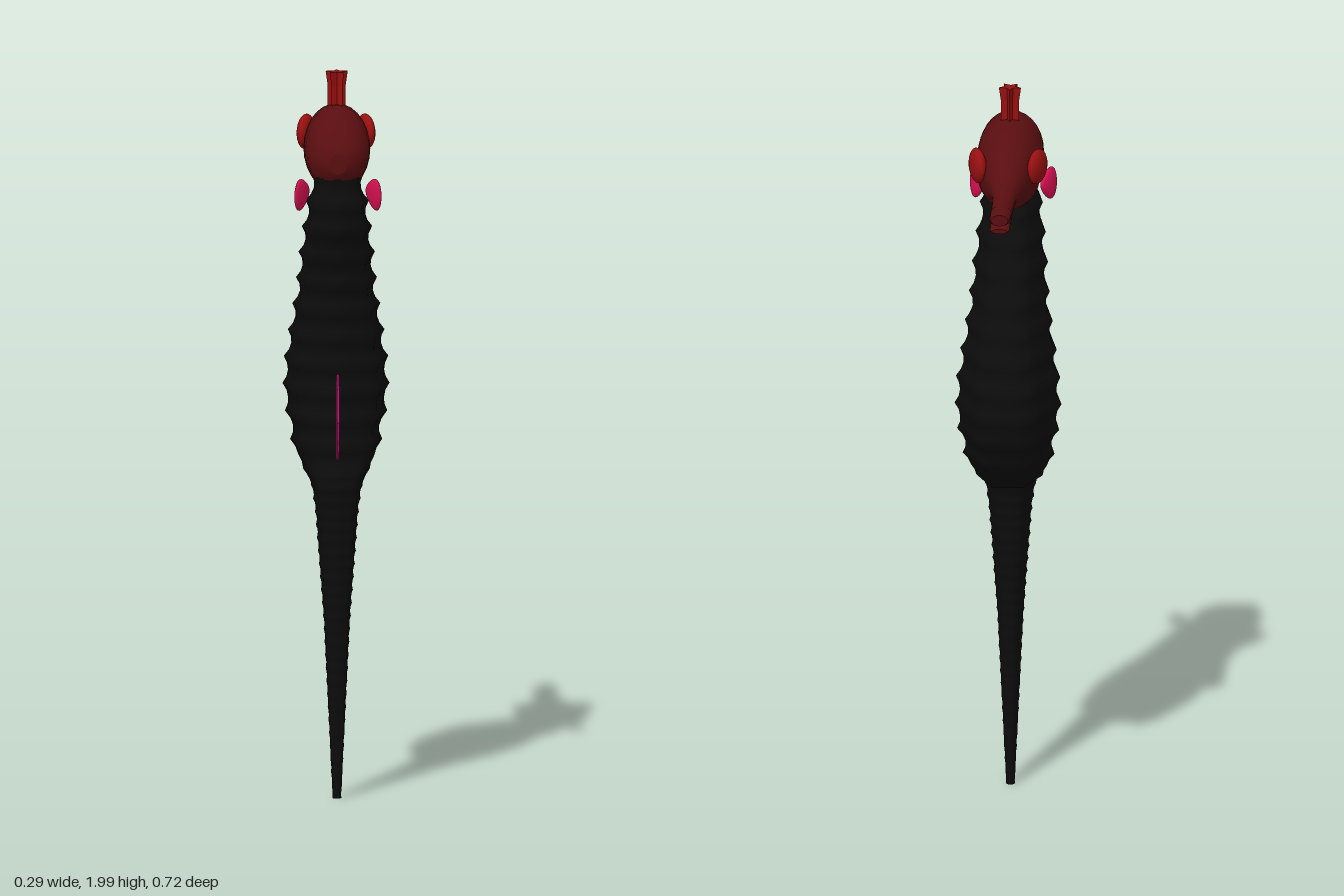
import * as THREE from 'three';

const paint = (name, color) => {
  const m = new THREE.MeshStandardMaterial({ color });
  m.name = name;
  return m;
};

// Skin a list of equal-length closed rings and close both ends.
function loft(rings, flat = false) {
  const n = rings[0].length, pos = [], idx = [];
  rings.forEach(r => r.forEach(p => pos.push(...p)));
  for (let i = 0; i < rings.length - 1; i++) {
    for (let j = 0; j < n; j++) {
      const k = (j + 1) % n, a = i * n + j, b = i * n + k;
      idx.push(a, b, b + n, a, b + n, a + n);
    }
  }
  [rings[0], rings[rings.length - 1]].forEach((r, end) => {
    const base = pos.length / 3, c = [0, 0, 0];
    r.forEach(p => { pos.push(...p); p.forEach((v, d) => { c[d] += v / n; }); });
    pos.push(...c);
    for (let j = 0; j < n; j++) {
      const a = base + j, b = base + (j + 1) % n;
      if (end) idx.push(a, b, base + n); else idx.push(b, a, base + n);
    }
  });
  let g = new THREE.BufferGeometry();
  g.setAttribute('position', new THREE.Float32BufferAttribute(pos, 3));
  g.setIndex(idx);
  if (flat) g = g.toNonIndexed();
  g.computeVertexNormals();
  return g;
}

// Body profile from tail tip to neck: y, belly z, back z, half width.
const PROFILE = [
  [0.01, 0.148, 0.172, 0.012], [0.5, 0.122, 0.207, 0.037], [0.8, 0.098, 0.236, 0.06],
  [0.87, 0.09, 0.246, 0.07], [0.888, 0.08, 0.246, 0.08], [0.905, 0.0, 0.246, 0.09],
  [0.94, -0.04, 0.24, 0.118], [1.0, -0.085, 0.242, 0.128], [1.09, -0.118, 0.244, 0.145],
  [1.18, -0.118, 0.246, 0.145], [1.3, -0.085, 0.253, 0.128], [1.4, -0.04, 0.263, 0.112],
  [1.5, 0.012, 0.285, 0.104], [1.6, 0.06, 0.322, 0.093], [1.66, 0.095, 0.325, 0.085],
  [1.73, 0.14, 0.312, 0.07],
];
function profileAt(y) {
  let i = 0;
  while (i < PROFILE.length - 2 && y > PROFILE[i + 1][0]) i++;
  const a = PROFILE[i], b = PROFILE[i + 1], t = (y - a[0]) / (b[0] - a[0]);
  return a.map((v, k) => v + (b[k] - v) * t);
}

// Seven-cornered armour section: x fraction, depth from belly (0) to back (1).
const SECTION = [[0, 1], [0.8, 0.87], [1, 0.45], [0.47, 0], [-0.47, 0], [-1, 0.45], [-0.8, 0.87]];
function bodyRing(y, dent) {
  const [, zf, zb, w] = profileAt(y), mid = (zf + zb) / 2, ring = [];
  SECTION.forEach((p, i) => {
    const q = SECTION[(i + 1) % SECTION.length];
    for (let s = 0; s < 3; s++) {
      const t = s / 3;
      const x = w * (p[0] + (q[0] - p[0]) * t);
      const z = zf + (zb - zf) * (p[1] + (q[1] - p[1]) * t);
      const len = Math.hypot(x, z - mid), k = 1 - dent * (s ? 0.6 : 1) / len;
      ring.push([x * k, y, mid + (z - mid) * k]);
    }
  });
  return ring;
}
// Bony rings at each step, with hollows scooped between them.
function bodyGeometry() {
  const levels = [];
  for (let i = 0; i < 25; i++) levels.push(0.01 + i * 0.0357);
  for (let i = 0; i <= 11; i++) levels.push(0.905 + i * 0.075);
  const rings = [];
  levels.forEach((y, i) => {
    const next = levels[i + 1];
    if (next === undefined) { rings.push(bodyRing(y, 0)); return; }
    const depth = y < 0.88 ? 0.001 + 0.004 * y : 0.015;
    for (let s = 0; s < 4; s++) {
      const u = s / 4;
      rings.push(bodyRing(y + (next - y) * u, depth * 4 * u * (1 - u)));
    }
  });
  return loft(rings);
}

// Oval sections running forward: z, top y, bottom y, half width.
const ovalLoft = stations => loft(stations.map(([z, top, bot, w]) =>
  Array.from({ length: 28 }, (_, i) => {
    const a = i / 28 * Math.PI * 2;
    return [w * Math.cos(a), (top + bot) / 2 - (top - bot) / 2 * Math.sin(a), z];
  })));

export function createModel() {
  const model = new THREE.Group();
  model.name = 'seahorse';
  const black = paint('bodyBlack', 0x0c0c0c), maroon = paint('headMaroon', 0x5a0e10);
  const red = paint('crownRed', 0x981010), magenta = paint('backFinMagenta', 0xbf1069);
  magenta.side = THREE.DoubleSide;
  const pink = paint('sideFinPink', 0xd81052);
  const add = (name, geometry, material) => {
    const mesh = new THREE.Mesh(geometry, material);
    mesh.name = name;
    model.add(mesh);
    return mesh;
  };

  add('ringedBody', bodyGeometry(), black);

  // Head tapering into the snout, then the open jaws
  add('head', ovalLoft([
    [0.317, 1.8, 1.745, 0.025], [0.31, 1.82, 1.73, 0.043], [0.29, 1.845, 1.705, 0.065],
    [0.26, 1.88, 1.69, 0.08], [0.225, 1.907, 1.682, 0.087], [0.18, 1.912, 1.675, 0.09],
    [0.13, 1.91, 1.668, 0.09], [0.08, 1.902, 1.67, 0.088], [0.03, 1.885, 1.685, 0.078],
    [-0.02, 1.862, 1.705, 0.063], [-0.06, 1.835, 1.722, 0.05], [-0.1, 1.814, 1.735, 0.038],
    [-0.14, 1.804, 1.742, 0.032], [-0.2, 1.8, 1.743, 0.03], [-0.31, 1.8, 1.742, 0.029],
  ]), maroon);
  add('upperJaw', ovalLoft([
    [-0.28, 1.8, 1.755, 0.029], [-0.35, 1.802, 1.765, 0.028], [-0.36, 1.799, 1.768, 0.023],
  ]), maroon);
  add('lowerJaw', ovalLoft([
    [-0.28, 1.775, 1.743, 0.028], [-0.345, 1.76, 1.741, 0.026], [-0.354, 1.757, 1.744, 0.021],
  ]), maroon);

  // Star-shaped crown, flared at the rim
  add('crown', loft([[1.89, 0.85], [1.96, 0.85], [2.0, 1.05]].map(([y, s]) =>
    Array.from({ length: 10 }, (_, i) => {
      const a = Math.PI + i * Math.PI / 5, r = s * (i % 2 ? 0.014 : 0.03);
      return [r * Math.sin(a), y, 0.145 + r * Math.cos(a)];
    })), true), red);

  // Eyes and flared side fins, mirrored
  const fan = new THREE.SphereGeometry(1, 24, 16);
  const p = fan.attributes.position;
  for (let i = 0; i < p.count; i++) p.setY(i, p.getY(i) * (0.8 + 0.3 * p.getZ(i)));
  fan.scale(0.011, 0.052, 0.039);
  fan.computeVertexNormals();
  for (const side of [1, -1]) {
    const label = side > 0 ? 'left' : 'right';
    const eye = add(label + 'Eye', new THREE.SphereGeometry(1, 24, 16), red);
    eye.scale.set(0.021, 0.048, 0.051);
    eye.position.set(side * 0.081, 1.815, 0.02);
    eye.rotation.y = side * 0.33;
    const fin = add(label + 'SideFin', fan, pink);
    fin.position.set(side * 0.097, 1.685, 0.272);
    fin.rotation.set(0.15, side * 0.5, 0);
  }

  // Thin scalloped fin on the back
  const outline = [[0.22, 0.97], [0.3, 0.958], [0.318, 0.968], [0.335, 1.005], [0.345, 1.02],
    [0.36, 1.07], [0.346, 1.1], [0.336, 1.16], [0.312, 1.17], [0.288, 1.192], [0.262, 1.17], [0.22, 1.16]];
  const backFin = new THREE.ExtrudeGeometry(
    new THREE.Shape(outline.map(([z, y]) => new THREE.Vector2(z, y))),
    { depth: 0.006, bevelEnabled: false });
  backFin.translate(0, 0, -0.003);
  backFin.rotateY(-Math.PI / 2);
  add('backFin', backFin, magenta);

  return model;
}
